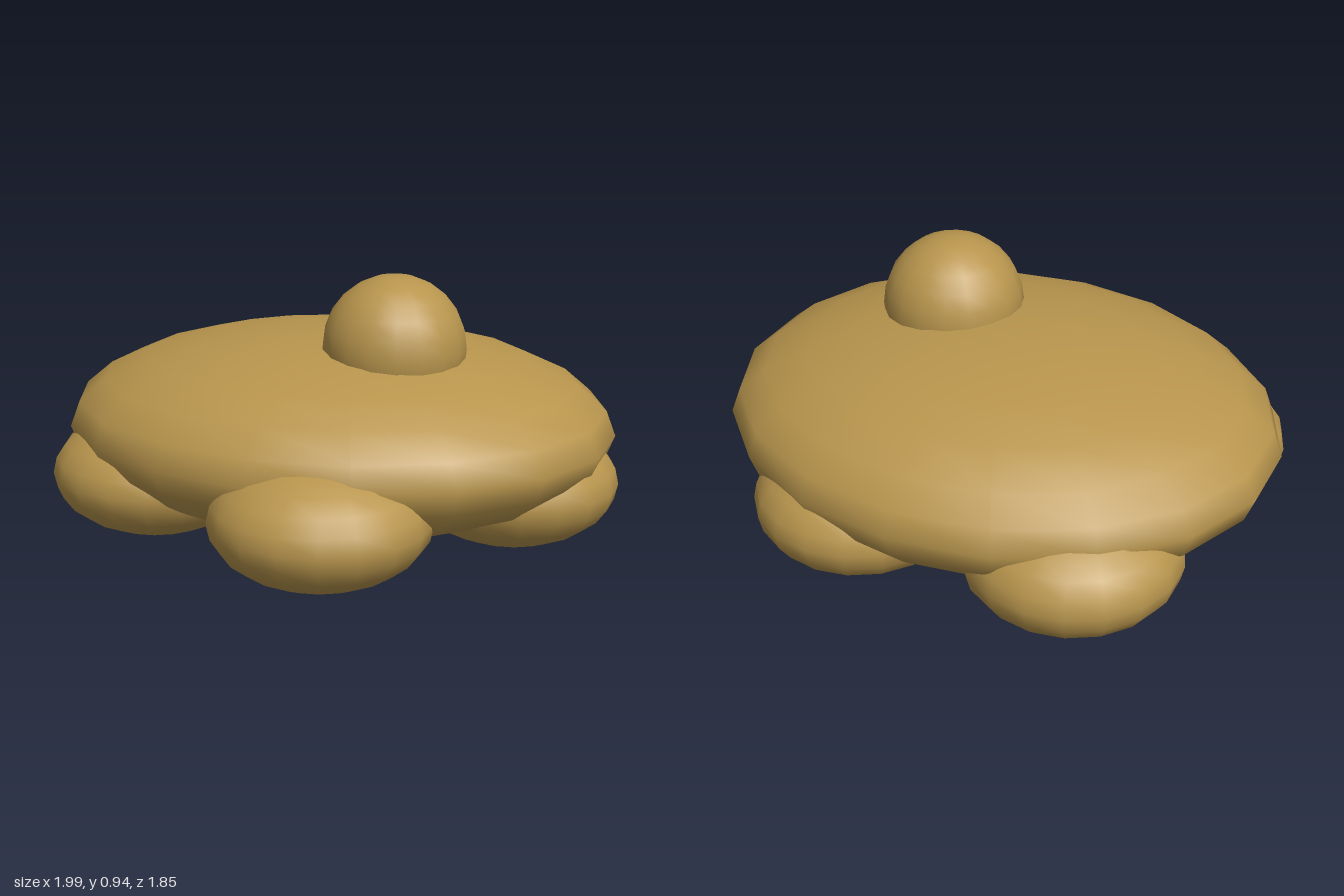
import * as THREE from 'three';

export function createModel() {
  const model = new THREE.Group();
  const sand = new THREE.MeshStandardMaterial({ color: 0xb8954d });
  sand.name = 'sand';

  // One ball, turned so that a vertex faces the front, then squashed per part
  const ball = new THREE.SphereGeometry(1, 18, 12).rotateY(Math.PI / 2);
  const blob = (name, position, radii) => {
    const mesh = new THREE.Mesh(ball, sand);
    mesh.name = name;
    mesh.position.set(...position);
    mesh.scale.set(...radii);
    model.add(mesh);
  };

  // Flattened body and the round head sitting off-centre on top
  blob('body', [-0.02, 0.365, -0.03], [0.995, 0.34, 0.84]);
  blob('head', [0.235, 0.687, 0.1], [0.25, 0.25, 0.25]);

  // Five squashed feet around the underside
  const feet = {
    frontFoot: [0.155, 0.6],
    leftFoot: [0.628, -0.02],
    backLeftFoot: [0.28, -0.505],
    backRightFoot: [-0.49, -0.48],
    frontRightFoot: [-0.575, 0.31],
  };
  for (const [name, [x, z]] of Object.entries(feet)) {
    blob(name, [x, 0.22, z], [0.372, 0.218, 0.372]);
  }
  return model;
}
